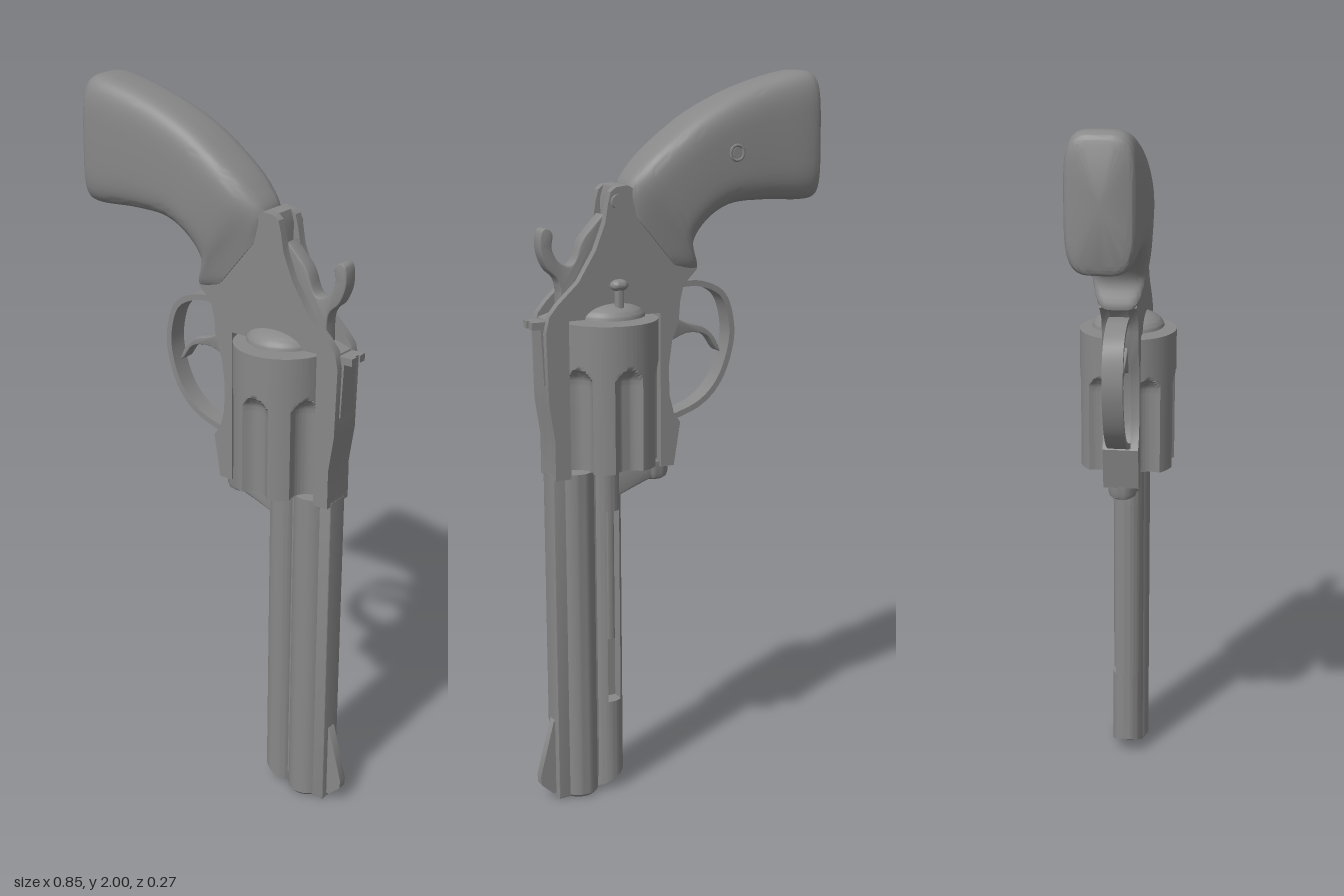
import * as THREE from 'three';
import { toCreasedNormals } from 'three/addons/utils/BufferGeometryUtils.js';

const mat = new THREE.MeshStandardMaterial({ color: 0x888888, side: THREE.DoubleSide });
const v2 = pts => pts.map(p => new THREE.Vector2(p[0], p[1]));
const CYL_X = 0.195, CYL_R = 0.137, BARREL_X = 0.3;

export function createModel() {
  const model = new THREE.Group();
  const add = (name, geo, x = 0, y = 0, z = 0, parent = model) => {
    const m = new THREE.Mesh(toCreasedNormals(geo, 0.6), mat);
    m.name = name;
    m.position.set(x, y, z);
    parent.add(m);
    return m;
  };
  const group = name => {
    const g = new THREE.Group();
    g.name = name;
    model.add(g);
    return g;
  };
  // Flat part: outline in x,y extruded from z0 to z1 with a small bevel inside the limits
  const plate = (pts, z0, z1, bevel = 0) => {
    const g = new THREE.ExtrudeGeometry(new THREE.Shape(v2(pts)), {
      depth: z1 - z0 - 2 * bevel, bevelEnabled: bevel > 0, bevelSize: bevel,
      bevelThickness: bevel, bevelOffset: -bevel, bevelSegments: 3,
    });
    return g.translate(0, 0, z0 + bevel);
  };
  // Section in x,-z extruded upward
  const upright = (shape, y0, y1) =>
    new THREE.ExtrudeGeometry(shape, { depth: y1 - y0, bevelEnabled: false, curveSegments: 32 })
      .rotateX(-Math.PI / 2).translate(0, y0, 0);
  const smooth = (pts, n) => new THREE.SplineCurve(v2(pts)).getPoints(n).map(p => [p.x, p.y]);
  // Vertical and sideways cylinders
  const rod = (r, y0, y1) => new THREE.CylinderGeometry(r, r, y1 - y0, 24).translate(0, (y0 + y1) / 2, 0);
  const pin = (r, len) => new THREE.CylinderGeometry(r, r, len, 24).rotateX(Math.PI / 2);

  add('grip', gripGeometry());
  const screw = group('gripScrew');
  add('screwRing', new THREE.TorusGeometry(0.02, 0.005, 8, 24), -0.15, 1.79, -0.089, screw);
  add('screwHead', pin(0.014, 0.012), -0.15, 1.79, -0.087, screw);

  // Frame: a C around the cylinder, with a hammer slot between two cheeks
  const front = [
    [0.375, 1.05], [0.375, 0.94], [0.33, 0.94], [0.33, 1.37], [0.06, 1.37], [0.06, 0.94],
    [0.02, 0.94], [0.01, 1.0], [0, 1.06], [0.02, 1.09], [0.033, 1.14], [0.035, 1.22],
    [0.025, 1.29], [0.005, 1.34], [0, 1.4], [-0.01, 1.44], [-0.05, 1.48], [0.06, 1.62], [0.13, 1.7],
  ];
  const cheek = [
    [0.155, 1.715], [0.19, 1.712], [0.205, 1.7], [0.213, 1.67], [0.222, 1.62], [0.25, 1.55],
    [0.3, 1.47], [0.36, 1.415], [0.385, 1.385], [0.395, 1.34], [0.39, 1.15], ...front,
  ];
  const core = [
    [0.155, 1.715], [0.19, 1.712], [0.2, 1.68], [0.2, 1.45], [0.3, 1.4],
    [0.385, 1.375], [0.395, 1.34], [0.39, 1.15], ...front,
  ];
  const frame = group('frame');
  add('frameCore', plate(core, -0.026, 0.026), 0, 0, 0, frame);
  add('frameCheekLeft', plate(cheek, 0.026, 0.05), 0, 0, 0, frame);
  add('frameCheekRight', plate(cheek, -0.05, -0.026), 0, 0, 0, frame);
  add('framePin', pin(0.018, 0.02), 0.188, 1.675, -0.05, frame);
  add('recoilShield', new THREE.SphereGeometry(1, 36, 12, 0, Math.PI * 2, 0, Math.PI / 2)
    .scale(0.102, 0.045, 0.102), CYL_X, 1.368, 0, frame);

  // Latch knob behind the cylinder
  const latch = group('latch');
  add('latchStem', rod(0.013, 1.37, 1.455), 0.19, 0, -0.064, latch);
  add('latchKnob', new THREE.SphereGeometry(1, 20, 12).scale(0.026, 0.016, 0.02), 0.19, 1.457, -0.064, latch);

  // Hammer and trigger
  const hammer = [
    [0.215, 1.64], [0.235, 1.62], [0.275, 1.575], [0.295, 1.525], [0.315, 1.51], [0.345, 1.525],
    [0.362, 1.56], [0.358, 1.595], [0.375, 1.612], [0.392, 1.6], [0.393, 1.55], [0.375, 1.505],
    [0.35, 1.48], [0.34, 1.45], [0.34, 1.39],
  ];
  add('hammer', plate([...smooth(hammer, 56), [0.215, 1.4]], -0.022, 0.022, 0.004));
  const trigger = [
    [0.03, 1.39], [0, 1.35], [-0.04, 1.328], [-0.085, 1.315], [-0.12, 1.285], [-0.14, 1.243],
    [-0.128, 1.25], [-0.105, 1.283], [-0.075, 1.298], [-0.03, 1.3], [0.03, 1.275],
  ];
  add('trigger', plate(smooth(trigger, 40), -0.02, 0.02, 0.002));

  // Trigger guard: a band following a curve
  const path = new THREE.SplineCurve(v2([
    [0.02, 1.435], [-0.07, 1.437], [-0.145, 1.4], [-0.173, 1.315], [-0.165, 1.235],
    [-0.13, 1.155], [-0.07, 1.1], [0.02, 1.068],
  ]));
  const outer = [], inner = [];
  for (let i = 0; i <= 48; i++) {
    const p = path.getPoint(i / 48), t = path.getTangent(i / 48);
    outer.push([p.x + t.y * 0.008, p.y - t.x * 0.008]);
    inner.unshift([p.x - t.y * 0.008, p.y + t.x * 0.008]);
  }
  add('triggerGuard', plate([...outer, ...inner], -0.028, 0.028));

  addCylinder(group('cylinder'), add, rod);

  // Barrel with an open bore, top rib and a round lug with a slot on one side
  const barrel = group('barrel');
  add('barrelTube', new THREE.LatheGeometry(v2([
    [0, 0.5], [0.03, 0.5], [0.03, 0.012], [0.036, 0], [0.047, 0], [0.054, 0.008], [0.054, 0.95], [0, 0.95],
  ]), 40), BARREL_X, 0, 0, barrel);
  add('rib', plate([[0.32, 0.002], [0.376, 0.002], [0.376, 0.95], [0.32, 0.95]], -0.034, 0.034, 0.003), 0, 0, 0, barrel);
  add('barrelWeb', new THREE.BoxGeometry(0.05, 0.91, 0.05), 0.25, 0.495, 0, barrel);
  const lug = () => new THREE.Shape().absarc(0.21, 0, 0.045, 0, Math.PI * 2);
  const tip = upright(lug(), 0.01, 0.27), pos = tip.attributes.position;
  for (let i = 0; i < pos.count; i++)
    if (pos.getY(i) < 0.1) pos.setY(i, pos.getY(i) + Math.max(0, 0.25 - pos.getX(i)) * 0.5);
  tip.computeVertexNormals();
  add('lugTip', tip, 0, 0, 0, barrel);
  const slotted = new THREE.Shape().absarc(0.21, 0, 0.045, 2.24, 1.25 + Math.PI * 2, false);
  slotted.lineTo(0.224, 0);
  slotted.lineTo(0.182, 0);
  add('lugSlotted', upright(slotted, 0.27, 0.83), 0, 0, 0, barrel);
  add('lugRear', upright(lug(), 0.83, 0.95), 0, 0, 0, barrel);
  add('ejectorRod', rod(0.014, 0.45, 0.83), 0.203, 0, -0.012, barrel);

  // Crane under the cylinder
  const crane = group('crane');
  add('craneHinge', new THREE.LatheGeometry(v2([
    [0, 0.9], [0.028, 0.9], [0.037, 0.906], [0.041, 0.918], [0.041, 0.953], [0, 0.953],
  ]), 32), 0.06, 0, 0, crane);
  add('craneArm', plate([[0.07, 0.95], [0.07, 0.908], [0.11, 0.895], [0.19, 0.865], [0.19, 0.95]],
    -0.034, 0.034, 0.008), 0, 0, 0, crane);

  // Sights
  add('frontSight', plate([[0.37, 0.24], [0.38, 0.23], [0.422, 0.07], [0.42, 0.045], [0.385, 0.012], [0.37, 0.012]], -0.013, 0.013));
  const rear = group('rearSight');
  add('sightBase', plate([[0.37, 1.2], [0.395, 1.2], [0.402, 1.35], [0.37, 1.35]], -0.03, 0.03), 0, 0, 0, rear);
  for (const s of [-1, 1])
    add('sightBlade', new THREE.BoxGeometry(0.045, 0.02, 0.022), 0.403, 1.36, s * 0.019, rear);
  add('sightNotch', new THREE.BoxGeometry(0.04, 0.02, 0.02), 0.4, 1.36, 0, rear);
  return model;
}

// Grip: squarish cross-sections lofted between its upper and lower edges
function gripGeometry() {
  // upper x, y, lower x, y, half width
  const st = [
    [-0.423, 1.965, -0.427, 1.68, 0.065], [-0.412, 1.99, -0.418, 1.657, 0.083],
    [-0.385, 2.0, -0.39, 1.65, 0.091], [-0.23, 1.967, -0.26, 1.655, 0.091],
    [-0.07, 1.9, -0.15, 1.648, 0.091], [0.04, 1.825, -0.08, 1.61, 0.09],
    [0.11, 1.765, -0.04, 1.55, 0.082], [0.152, 1.71, -0.058, 1.475, 0.066],
    [0.147, 1.65, 0.0, 1.475, 0.055],
  ];
  const curve = f => new THREE.CatmullRomCurve3(st.map(f), false, 'centripetal');
  const up = curve(s => new THREE.Vector3(s[0], s[1], s[4]));
  const low = curve(s => new THREE.Vector3(s[2], s[3], s[4]));
  const N = 48, M = 48, verts = [], idx = [];
  const root = c => Math.sign(c) * Math.abs(c) ** 0.5;
  for (let i = -1; i <= N + 1; i++) {
    const t = Math.min(Math.max(i / N, 0), 1), k = i < 0 || i > N ? 0 : 1;
    const a = up.getPoint(t), b = low.getPoint(t);
    for (let j = 0; j < M; j++) {
      const ang = j / M * Math.PI * 2, c = root(Math.cos(ang)) * k;
      verts.push((a.x + b.x) / 2 + (a.x - b.x) / 2 * c, (a.y + b.y) / 2 + (a.y - b.y) / 2 * c,
        (a.z + b.z) / 2 * root(Math.sin(ang)) * k);
    }
  }
  for (let i = 0; i < N + 2; i++) for (let j = 0; j < M; j++) {
    const j2 = (j + 1) % M, p = i * M, q = p + M;
    idx.push(p + j, p + j2, q + j, q + j, p + j2, q + j2);
  }
  const g = new THREE.BufferGeometry();
  g.setAttribute('position', new THREE.Float32BufferAttribute(verts, 3));
  g.setIndex(idx);
  return g;
}

// Cylinder: six round-ended flutes, six chambers open at the muzzle end
function addCylinder(parent, add, rod) {
  const Y0 = 0.96, Y1 = 1.36, D = 0.151, C = 0.044, step = Math.PI / 3, SEG = 144;
  const radius = (ang, y) => {
    const phi = ang - Math.PI / 6 - Math.round((ang - Math.PI / 6) / step) * step;
    const c2 = C * C - Math.max(0, y - 1.2) ** 2 - (D * Math.sin(phi)) ** 2;
    return c2 > 0 ? Math.min(CYL_R, D * Math.cos(phi) - Math.sqrt(c2)) : CYL_R;
  };
  const body = new THREE.CylinderGeometry(CYL_R, CYL_R, Y1 - Y0, SEG, 60, true).translate(0, (Y0 + Y1) / 2, 0);
  const p = body.attributes.position;
  for (let i = 0; i < p.count; i++) {
    const a = Math.atan2(p.getZ(i), p.getX(i)), r = radius(a, p.getY(i));
    p.setXYZ(i, r * Math.cos(a), p.getY(i), r * Math.sin(a));
  }
  add('cylinderWall', body, CYL_X, 0, 0, parent);
  add('cylinderRear', new THREE.CircleGeometry(CYL_R, SEG).rotateX(-Math.PI / 2), CYL_X, Y1, 0, parent);
  const pts = [];
  for (let i = 0; i < SEG; i++) {
    const a = i / SEG * Math.PI * 2, r = radius(a, Y0);
    pts.push(new THREE.Vector2(r * Math.cos(a), r * Math.sin(a)));
  }
  const face = new THREE.Shape(pts);
  for (let k = 0; k < 6; k++) {
    const x = 0.093 * Math.cos(k * step), z = 0.093 * Math.sin(k * step);
    face.holes.push(new THREE.Path().absarc(x, z, 0.027, 0, Math.PI * 2, true));
    add('chamber', new THREE.CylinderGeometry(0.027, 0.027, Y1 - Y0, 20, 1, true), CYL_X + x, (Y0 + Y1) / 2, z, parent);
  }
  add('cylinderFront', new THREE.ShapeGeometry(face, 20).rotateX(Math.PI / 2), CYL_X, Y0, 0, parent);
  add('cylinderPin', rod(0.02, 0.94, 1.37), CYL_X, 0, 0, parent);
}
